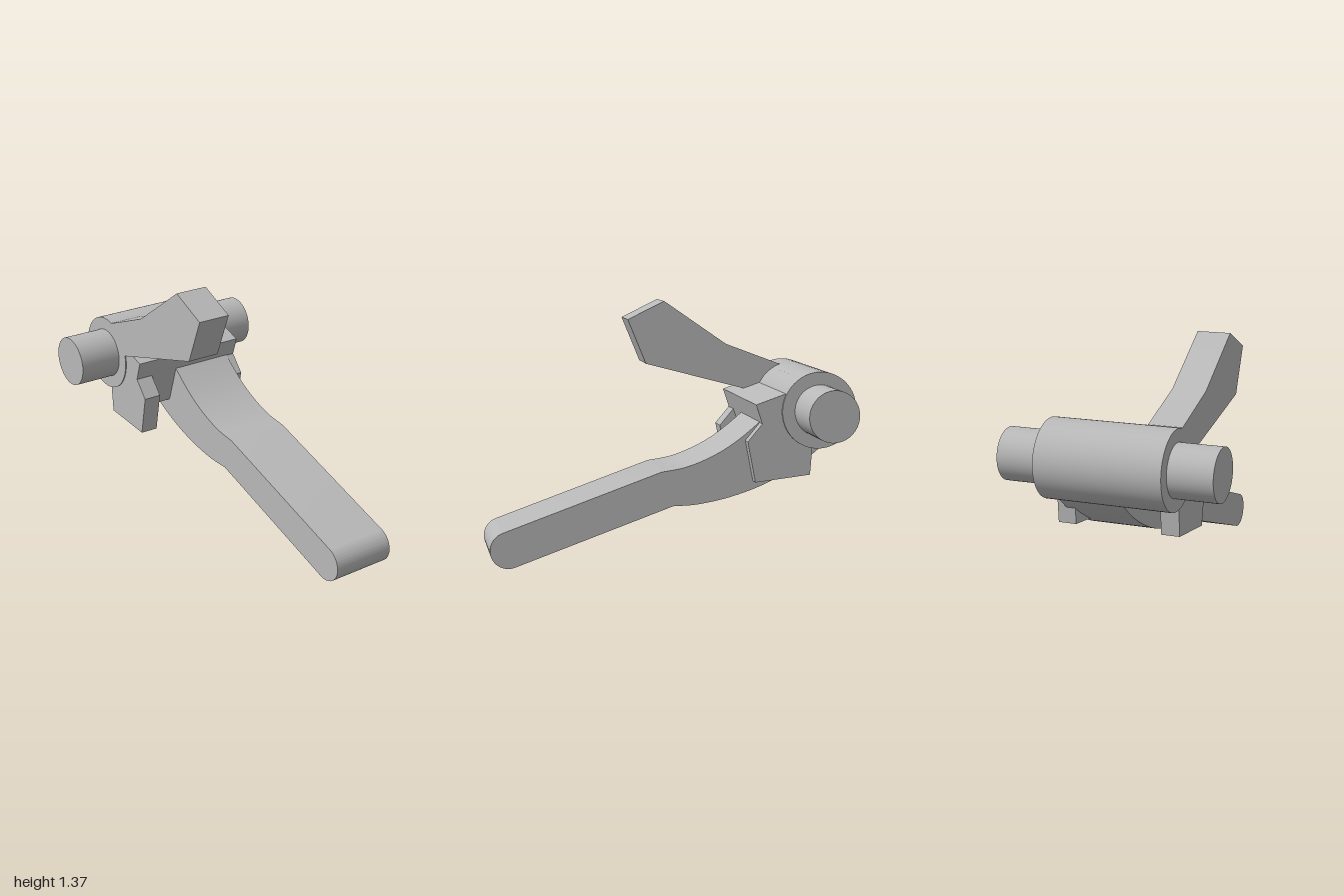
import * as THREE from 'three';
import { toCreasedNormals } from 'three/addons/utils/BufferGeometryUtils.js';

const AXIS_Y = 0.8, AXIS_Z = -0.79;

export function createModel() {
  const group = new THREE.Group();
  const metal = new THREE.MeshStandardMaterial({ color: 0xb8b8b8 });
  metal.name = 'light grey';

  const add = (name, geometry) => {
    const mesh = new THREE.Mesh(geometry, metal);
    mesh.name = name;
    group.add(mesh);
    return mesh;
  };

  // Side profiles are drawn as (-z, y) and extruded along x from x0 to x1
  const slab = (name, shape, x0, x1) => {
    const g = new THREE.ExtrudeGeometry(shape, { depth: x1 - x0, bevelEnabled: false, curveSegments: 24 });
    g.rotateY(Math.PI / 2).translate(x0, 0, 0);
    return add(name, toCreasedNormals(g, 0.25));
  };
  const flip = (points) => points.map(([z, y]) => new THREE.Vector2(-z, y));
  const polygon = (points) => new THREE.Shape(flip(points));

  // Cylinders lying along the pivot axis
  const rod = (name, radius, length) => {
    const g = new THREE.CylinderGeometry(radius, radius, length, 64);
    add(name, g.rotateZ(Math.PI / 2)).position.set(0, AXIS_Y, AXIS_Z);
  };
  rod('pivotSleeve', 0.21, 0.69);
  rod('pivotPin', 0.14, 1.17);

  // Bent upper arm on the right
  slab('upperArm', polygon([
    [0.168, 1.27], [-0.04, 1.37], [-0.4, 1.122], [-0.72, 1.0], [-0.78, 0.8], [-0.6, 0.838], [0.065, 1.02],
  ]), -0.345, -0.16);

  // Long curved lever with a rounded tip
  const lever = new THREE.Shape();
  lever.moveTo(0.68, 0.98);
  lever.splineThru(flip([[-0.6, 0.87], [-0.47, 0.74], [-0.33, 0.63], [-0.2, 0.557], [-0.06, 0.506], [0.075, 0.485]]));
  lever.lineTo(-0.931, 0.195);
  lever.absarc(-0.9, 0.1, 0.1, 1.89, 1.89 + Math.PI, false);
  lever.lineTo(-0.01, 0.295);
  lever.splineThru(flip([[-0.12, 0.298], [-0.28, 0.324], [-0.44, 0.37], [-0.58, 0.43], [-0.72, 0.51], [-0.83, 0.594]]));
  slab('lever', lever, -0.075, 0.285);

  // Cross block tangent to the sleeve
  slab('crossBlock', polygon([
    [-0.435, 0.84], [-0.543, 0.52], [-0.755, 0.59], [-0.76, 0.8], [-0.6, 0.895],
  ]), -0.34, 0.335);

  // Cheeks either side of the lever
  const cheek = polygon([
    [-0.47, 0.735], [-0.39, 0.64], [-0.435, 0.415], [-0.745, 0.445], [-0.757, 0.62], [-0.7, 0.75],
  ]);
  slab('rightCheek', cheek, -0.34, -0.24);
  slab('leftCheek', cheek, 0.235, 0.335);

  return group;
}
